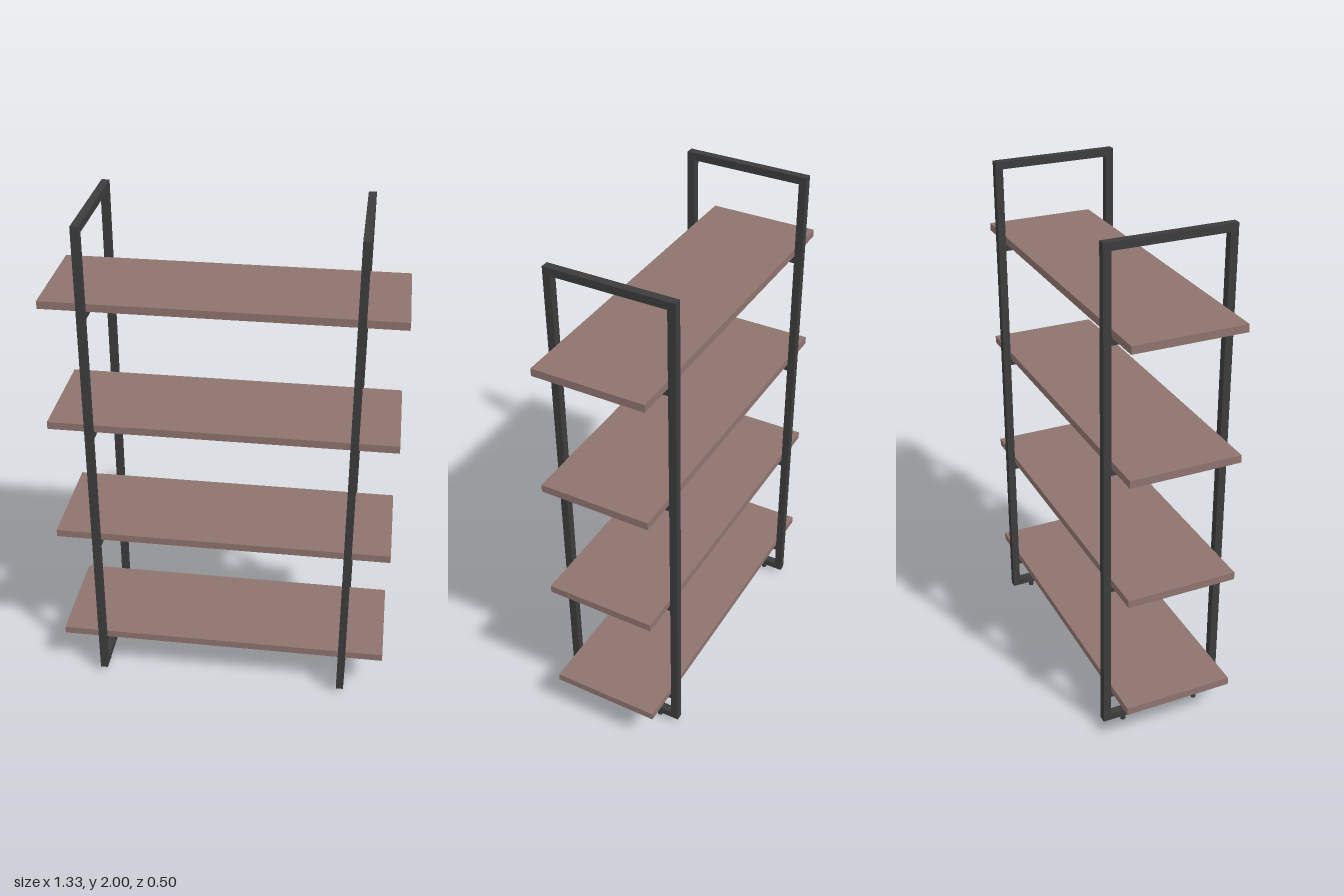
import * as THREE from 'three';

const TUBE = 0.03; // square tube thickness
const DEPTH = 0.495; // outer depth of the end frames
const FOOT = 0.025; // foot height
const SHELF_TOPS = [0.2, 0.7, 1.2, 1.7];

export function createModel() {
  const model = new THREE.Group();
  model.name = 'shelvingUnit';
  const metal = new THREE.MeshStandardMaterial({ color: 0x3c3c3c });
  const wood = new THREE.MeshStandardMaterial({ color: 0x8f736e });
  const inner = DEPTH - 2 * TUBE;

  const add = (parent, name, geometry, material, x, y, z) => {
    const mesh = new THREE.Mesh(geometry, material);
    mesh.name = name;
    mesh.position.set(x, y, z);
    parent.add(mesh);
  };

  // Shelves
  for (const top of SHELF_TOPS) {
    add(model, 'shelf', new THREE.BoxGeometry(1.332, TUBE, inner), wood, 0, top - TUBE / 2, 0);
  }

  // Two end frames
  for (const side of [1, -1]) {
    const frame = new THREE.Group();
    frame.name = side > 0 ? 'leftFrame' : 'rightFrame';
    frame.position.x = side * 0.5;
    model.add(frame);

    // Posts and feet, front and back
    for (const end of [1, -1]) {
      add(frame, end > 0 ? 'frontPost' : 'backPost', new THREE.BoxGeometry(TUBE, 2 - FOOT, TUBE),
        metal, 0, (2 + FOOT) / 2, end * (DEPTH - TUBE) / 2);
      add(frame, end > 0 ? 'frontFoot' : 'backFoot', new THREE.CylinderGeometry(0.01, 0.01, FOOT, 24),
        metal, 0, FOOT / 2, end * 0.158);
    }

    // Top rail, bottom rail and a support under each shelf
    const rail = new THREE.BoxGeometry(TUBE, TUBE, inner);
    add(frame, 'topRail', rail, metal, 0, 2 - TUBE / 2, 0);
    add(frame, 'bottomRail', rail, metal, 0, FOOT + TUBE / 2, 0);
    for (const top of SHELF_TOPS) add(frame, 'shelfSupport', rail, metal, 0, top - 1.5 * TUBE, 0);
  }
  return model;
}
